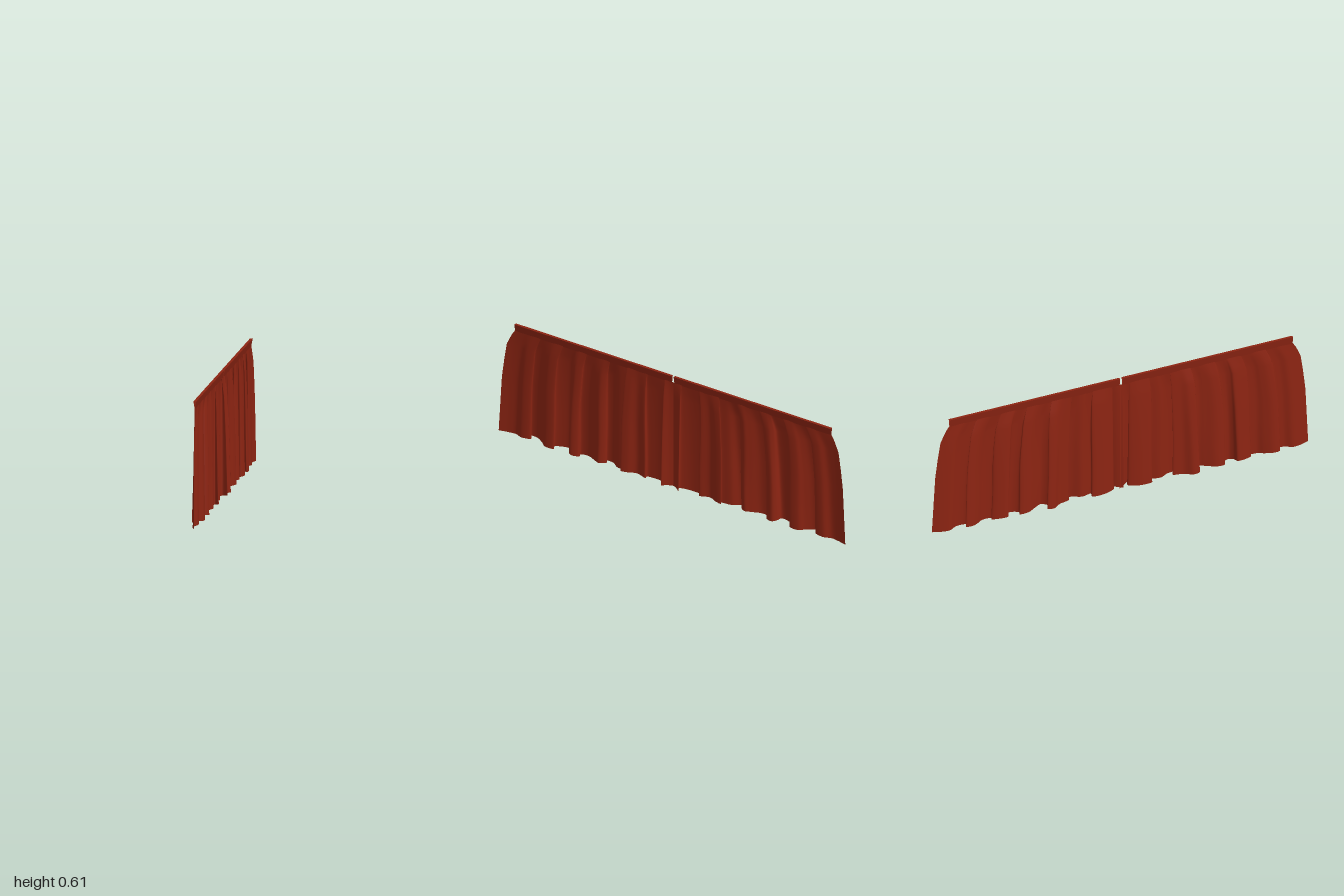
import * as THREE from 'three';

const HEIGHT = 0.61, NECK = 0.575;
const material = new THREE.MeshStandardMaterial({ color: 0x8c2412, side: THREE.DoubleSide });

// Hem line of one panel as [z, x]; z steps back where a pleat folds over itself
const hem = [
  [-0.01, -0.006], [0.02, 0.010], [0.05, 0.032], [0.036, 0.004], [0.07, -0.012], [0.12, -0.018],
  [0.16, -0.012], [0.155, 0.010], [0.21, -0.002], [0.255, 0.018], [0.29, 0.022], [0.275, 0.004],
  [0.33, -0.008], [0.37, -0.034], [0.405, -0.030], [0.39, -0.006], [0.42, 0.018], [0.45, 0.006],
  [0.50, -0.018], [0.545, -0.014], [0.54, 0.006], [0.58, 0.021], [0.60, 0.004], [0.61, -0.022],
  [0.65, -0.020], [0.69, -0.002], [0.68, 0.014], [0.73, 0.017], [0.76, -0.004], [0.80, -0.024],
  [0.835, -0.022], [0.82, 0.002], [0.87, 0.012], [0.91, -0.006], [0.95, -0.002], [1.0, 0.012]
];
const hemCurve = new THREE.CatmullRomCurve3(hem.map(([z, x]) => new THREE.Vector3(x, 0, z)), false, 'centripetal');

// Piecewise-linear lookup in rows of [y, value]
function lookup(rows, y) {
  for (let i = 1; i < rows.length; i++) {
    const [y0, a] = rows[i - 1], [y1, b] = rows[i];
    if (y <= y1) return THREE.MathUtils.lerp(a, b, (y - y0) / (y1 - y0));
  }
  return rows[rows.length - 1][1];
}
const outerEdge = [[0, 1], [0.33, 0.982], [0.49, 0.957], [0.545, 0.932], [NECK, 0.912]];
const foldDepth = [[0, 1], [0.3, 0.72], [0.49, 0.44], [0.55, 0.16], [NECK, 0.04]];

// Pleated cloth: the hem line shrinks to a straight line at the neck
function clothGeometry(side) {
  const nu = 210, levels = [0, 0.1, 0.2, 0.3, 0.4, 0.49, 0.525, 0.55, 0.565, NECK];
  const geo = new THREE.PlaneGeometry(1, 1, nu, levels.length - 1);
  const pos = geo.attributes.position;
  const points = hemCurve.getPoints(nu);
  for (let j = 0; j < levels.length; j++) {
    const y = levels[j], depth = lookup(foldDepth, y), edge = lookup(outerEdge, y);
    for (let i = 0; i <= nu; i++) {
      const p = points[i], u = i / nu;
      const sway = 0.008 * Math.sin(u * 23 + y * 7) * (y / NECK) * (1 - y / NECK) * u * (1 - u) * 8;
      const z = THREE.MathUtils.lerp(p.z, u, (y / NECK) * 0.25) * edge + sway;
      const lift = j === 0 ? 0.004 + 0.004 * Math.sin(u * 31) : 0;
      pos.setXYZ(j * (nu + 1) + i, 0.002 + (p.x - 0.001) * depth, y + lift, side * z);
    }
  }
  if (side < 0) geo.index.array.reverse();
  geo.computeVertexNormals();
  return geo;
}

// Rod pocket: an open-ended wedge, pinched at the neck and widening upwards
function pocketGeometry(side) {
  const ring = [[0.002, NECK - 0.004], [0.010, HEIGHT], [-0.004, HEIGHT], [0.002, NECK - 0.004]];
  const v = [];
  for (let k = 0; k < 3; k++) {
    const [x0, y0] = ring[k], [x1, y1] = ring[k + 1];
    const a = [x0, y0, side * 0.007], b = [x1, y1, side * 0.007];
    const c = [x1, y1, side * 0.912], d = [x0, y0, side * 0.912];
    const faces = side > 0 ? [a, b, c, a, c, d] : [a, c, b, a, d, c];
    v.push(...faces.flat());
  }
  const geo = new THREE.BufferGeometry();
  geo.setAttribute('position', new THREE.Float32BufferAttribute(v, 3));
  geo.computeVertexNormals();
  return geo;
}

export function createModel() {
  const model = new THREE.Group();
  model.name = 'curtains';
  for (const side of [1, -1]) {
    const panel = new THREE.Group();
    panel.name = side > 0 ? 'frontCurtain' : 'backCurtain';
    const cloth = new THREE.Mesh(clothGeometry(side), material);
    cloth.name = 'pleatedCloth';
    const pocket = new THREE.Mesh(pocketGeometry(side), material);
    pocket.name = 'rodPocket';
    panel.add(cloth, pocket);
    model.add(panel);
  }
  return model;
}
